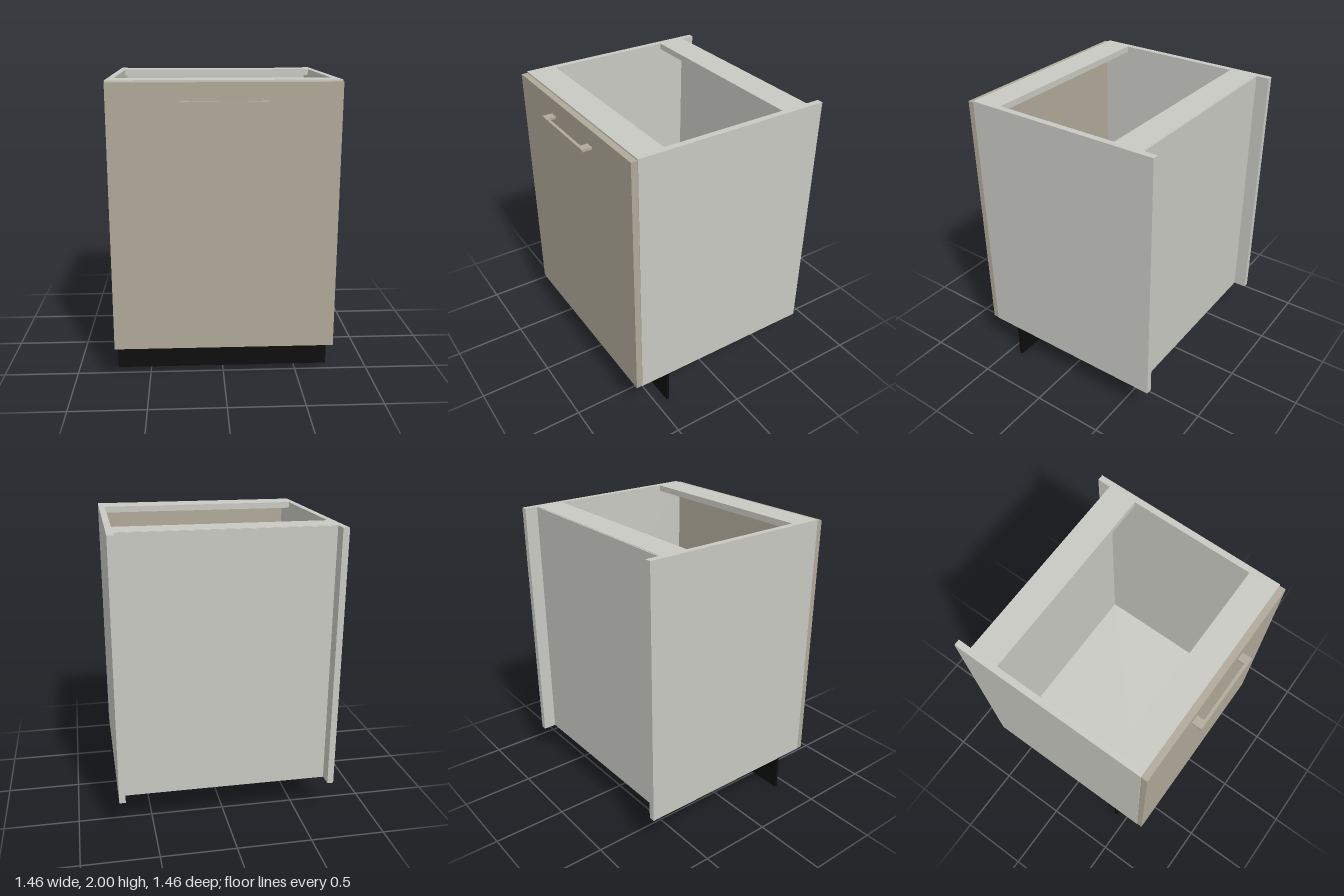
import * as THREE from 'three';

const mat = (name, color) => {
  const m = new THREE.MeshStandardMaterial({ color });
  m.name = name;
  return m;
};

export function createModel() {
  const group = new THREE.Group();
  const grey = mat('carcass grey', 0xc8c9c2);
  const beige = mat('front beige', 0xb0a999);
  const black = mat('plinth black', 0x0d0d0d);

  // Box given by its extents on each axis
  const panel = (name, material, [x0, x1], [y0, y1], [z0, z1]) => {
    const mesh = new THREE.Mesh(new THREE.BoxGeometry(x1 - x0, y1 - y0, z1 - z0), material);
    mesh.position.set((x0 + x1) / 2, (y0 + y1) / 2, (z0 + z1) / 2);
    mesh.name = name;
    group.add(mesh);
  };

  const inner = [-0.688, 0.688];

  // Side panels
  panel('leftSide', grey, [0.688, 0.73], [0.25, 2], [-0.73, 0.615]);
  panel('rightSide', grey, [-0.73, -0.688], [0.25, 2], [-0.73, 0.615]);

  // Bottom, thin recessed back and two top rails
  panel('bottomPanel', grey, inner, [0.25, 0.292], [-0.632, 0.615]);
  panel('backPanel', grey, inner, [0.25, 1.998], [-0.64, -0.632]);
  panel('frontRail', grey, inner, [1.958, 2], [0.42, 0.615]);
  panel('backRail', grey, inner, [1.958, 2], [-0.632, -0.44]);

  // Door and plinth
  panel('door', beige, [-0.727, 0.727], [0.25, 1.99], [0.616, 0.658]);
  panel('plinth', black, [-0.73, 0.73], [0, 0.25], [0.4, 0.42]);

  // Handle: one flat bracket outline, extruded upwards
  const outline = [
    [-0.273, 0.658], [-0.273, 0.726], [0.273, 0.726], [0.273, 0.658],
    [0.216, 0.658], [0.216, 0.706], [-0.216, 0.706], [-0.216, 0.658],
  ].map(([x, z]) => new THREE.Vector2(x, -z));
  const handleGeometry = new THREE.ExtrudeGeometry(new THREE.Shape(outline), { depth: 0.016, bevelEnabled: false });
  handleGeometry.rotateX(-Math.PI / 2);
  const handle = new THREE.Mesh(handleGeometry, beige);
  handle.position.y = 1.864;
  handle.name = 'handle';
  group.add(handle);

  return group;
}
